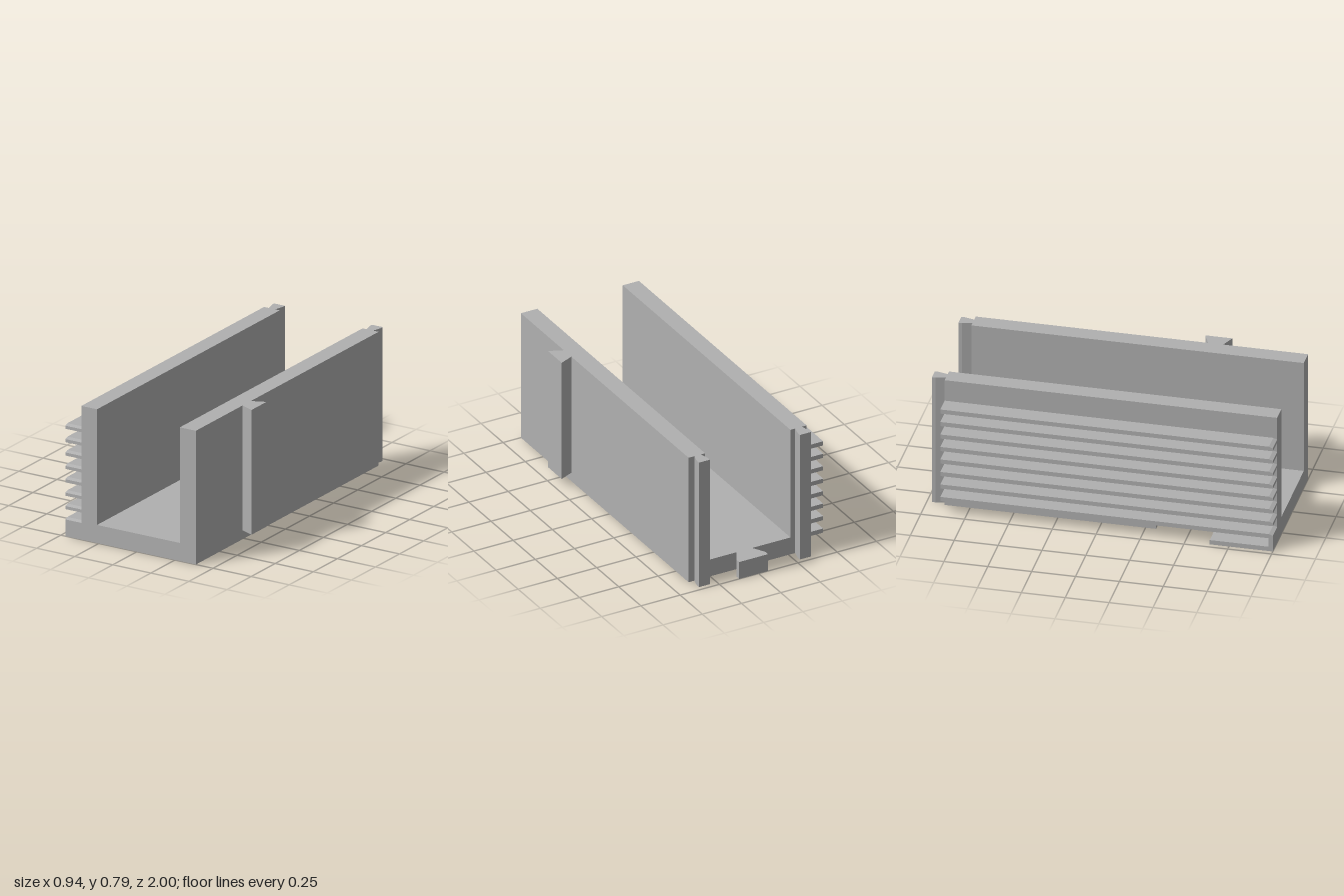
import * as THREE from 'three';

const grey = new THREE.MeshStandardMaterial({ color: 0xb0b0b0 });
grey.name = 'plain grey';

export function createModel() {
  const model = new THREE.Group();
  model.name = 'railChannel';

  const add = (name, geometry) => {
    const mesh = new THREE.Mesh(geometry, grey);
    mesh.name = name;
    model.add(mesh);
  };
  // box from its low and high limits on each axis
  const box = (name, x0, x1, y0, y1, z0, z1) => {
    const g = new THREE.BoxGeometry(x1 - x0, y1 - y0, z1 - z0);
    g.translate((x0 + x1) / 2, (y0 + y1) / 2, (z0 + z1) / 2);
    add(name, g);
  };
  const shapeOf = (pts) => new THREE.Shape(pts.map(([a, b]) => new THREE.Vector2(a, b)));
  // plan outline of [x, z] points raised from y0 to y1
  const plan = (name, pts, y0, y1) => {
    const g = new THREE.ExtrudeGeometry(shapeOf(pts.map(([x, z]) => [x, -z])), { depth: y1 - y0, bevelEnabled: false });
    g.rotateX(-Math.PI / 2);
    g.translate(0, y0, 0);
    add(name, g);
  };
  // side outline of [z, y] points extruded from x0 to x1
  const side = (name, pts, x0, x1, hole) => {
    const shape = shapeOf(pts.map(([z, y]) => [-z, y]));
    if (hole) shape.holes.push(new THREE.Path(hole.map(([z, y]) => new THREE.Vector2(-z, y))));
    const g = new THREE.ExtrudeGeometry(shape, { depth: x1 - x0, bevelEnabled: false });
    g.rotateY(Math.PI / 2);
    g.translate(x0, 0, 0);
    add(name, g);
  };

  const back = -0.895, front = 1, top = 0.79, floorY = 0.107;
  const outR = -0.365, inR = -0.262, inL = 0.282, outL = 0.387, finX = -0.47;

  // floor, with a notch cut under its right edge
  plan('floorBase', [
    [outR, back], [outL, back], [outL, front], [outR, front],
    [outR, 0.64], [-0.28, 0.64], [-0.28, 0.31], [outR, 0.31],
  ], 0, 0.08);
  box('floorTop', outR, outL, 0.08, floorY, back, front);

  // side walls; the right one has a shallow latch recess inside
  box('leftWall', inL, outL, floorY, top, back, front);
  box('rightWallOuter', outR, inR - 0.025, floorY, top, back, front);
  side('rightWallInner',
    [[back, floorY], [front, floorY], [front, top], [back, top]], inR - 0.025, inR,
    [[0.71, 0.2], [0.75, 0.2], [0.75, 0.265], [0.71, 0.265]]);
  box('latchBump', 0.265, inL, 0.205, 0.26, 0.82, 0.845);

  // row of long fins with a slightly chamfered front end
  for (let i = 0; i < 8; i++) {
    const y = 0.081 + i * 0.0791;
    side('fin', [
      [back, y], [front, y], [front, y + 0.018], [0.978, y + 0.026], [back, y + 0.026],
    ], finX, outR);
  }

  // hooked foot below the lowest fin
  box('footPlate', finX, outR, 0, 0.027, 0.64, front);
  box('footUpright', finX, outR, 0.027, 0.081, 0.975, front);

  // dovetail rail on the left side
  plan('sideDovetail', [[outL, 0.43], [0.468, 0.395], [0.468, 0.55], [outL, 0.515]], 0.053, top);

  // dovetails on the back
  const backDovetail = (name, x, neck, half, shoulder, end, height) => plan(name, [
    [x - neck, back], [x - half, shoulder], [x - half, end],
    [x + half, end], [x + half, shoulder], [x + neck, back],
  ], 0, height);
  backDovetail('rightBackDovetail', -0.313, 0.021, 0.035, -0.95, -0.972, top);
  backDovetail('leftBackDovetail', 0.33, 0.021, 0.035, -0.95, -0.972, top);
  backDovetail('floorBackDovetail', 0.032, 0.05, 0.092, -0.97, -1, floorY);

  return model;
}
